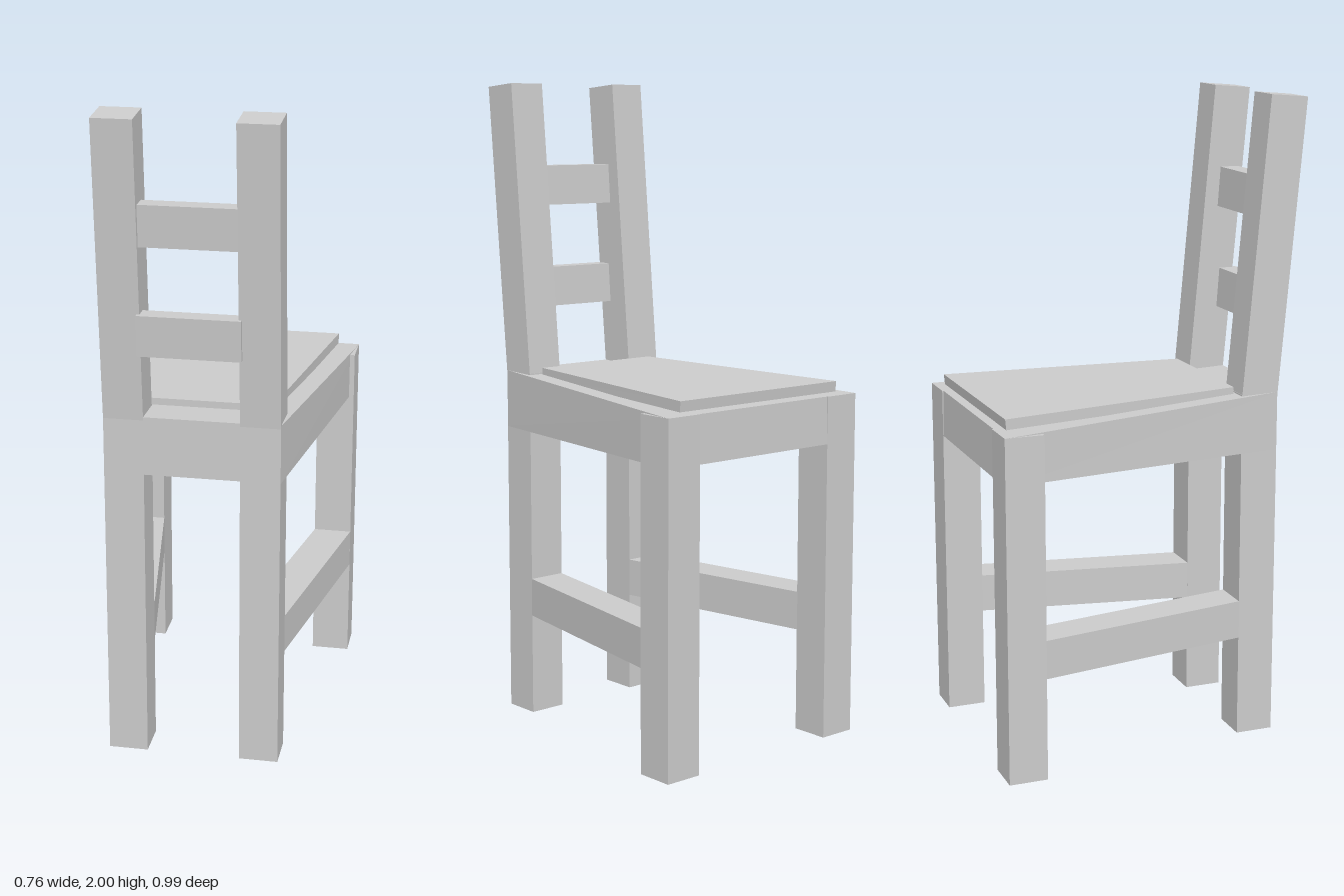
import * as THREE from 'three';

const lerp = (a, b, t) => a + (b - a) * t;

export function createModel() {
  const chair = new THREE.Group();
  chair.name = 'chair';
  const material = new THREE.MeshStandardMaterial({ color: 0xcccccc, flatShading: true });

  // Shapes a block: shape(u, v, w) maps each corner (0 or 1 along x, y, z) to a point.
  function block(name, shape) {
    const geometry = new THREE.BoxGeometry(1, 1, 1);
    const p = geometry.attributes.position;
    for (let i = 0; i < p.count; i++) {
      p.setXYZ(i, ...shape(p.getX(i) + 0.5, p.getY(i) + 0.5, p.getZ(i) + 0.5));
    }
    geometry.computeVertexNormals();
    const mesh = new THREE.Mesh(geometry, material);
    mesh.name = name;
    chair.add(mesh);
  }

  const W = 0.12; // timber width
  const sides = [
    { side: 'left', narrow: 0.14, wide: 0.26 },
    { side: 'right', narrow: -0.267, wide: -0.38 },
  ];

  for (const { side, narrow, wide } of sides) {
    // Straight leg under the backrest
    block(`${side}BackrestLeg`, (u, v, w) => [narrow + u * W, v * 1.1, lerp(0.297, 0.415, w)]);
    // Leaning backrest post
    block(`${side}BackrestPost`, (u, v, w) => [
      narrow + u * W,
      v ? lerp(2, 1.99, w) : 1.09,
      lerp(0.297, 0.415, w) + v * 0.081,
    ]);
    // Leg under the wide end of the seat
    block(`${side}SeatLeg`, (u, v, w) => [wide + u * W, v * 1.065, lerp(-0.495, -0.375, w)]);
    // Low side stretcher following the taper
    block(`${side}Stretcher`, (u, v, w) => [
      lerp(wide, narrow, w) + u * W,
      lerp(0.32, 0.44, v),
      lerp(-0.376, 0.298, w),
    ]);
  }

  // Tapered seat frame, lower at the wide end
  block('seatFrame', (u, v, w) => [
    lerp(lerp(-0.38, 0.38, u), lerp(-0.267, 0.26, u), w),
    v ? lerp(1.065, 1.1, w) : 0.92,
    lerp(-0.495 + v * 0.004, 0.415, w),
  ]);

  // Thin tapered seat panel
  block('seatPanel', (u, v, w) => [
    lerp(lerp(-0.318, 0.315, u), lerp(-0.223, 0.217, u), w),
    v ? lerp(1.105, 1.116, w) : lerp(1.073, 1.085, w),
    lerp(-0.47 - v * 0.003, 0.288, w),
  ]);

  // Two backrest slats
  for (const [name, y, half] of [['lowerSlat', 1.297, 0.152], ['upperSlat', 1.62, 0.146]]) {
    block(name, (u, v, w) => [
      -0.003 + lerp(-half, half, u),
      y + v * 0.124,
      lerp(0.39, 0.45, w) + v * 0.009,
    ]);
  }

  return chair;
}
